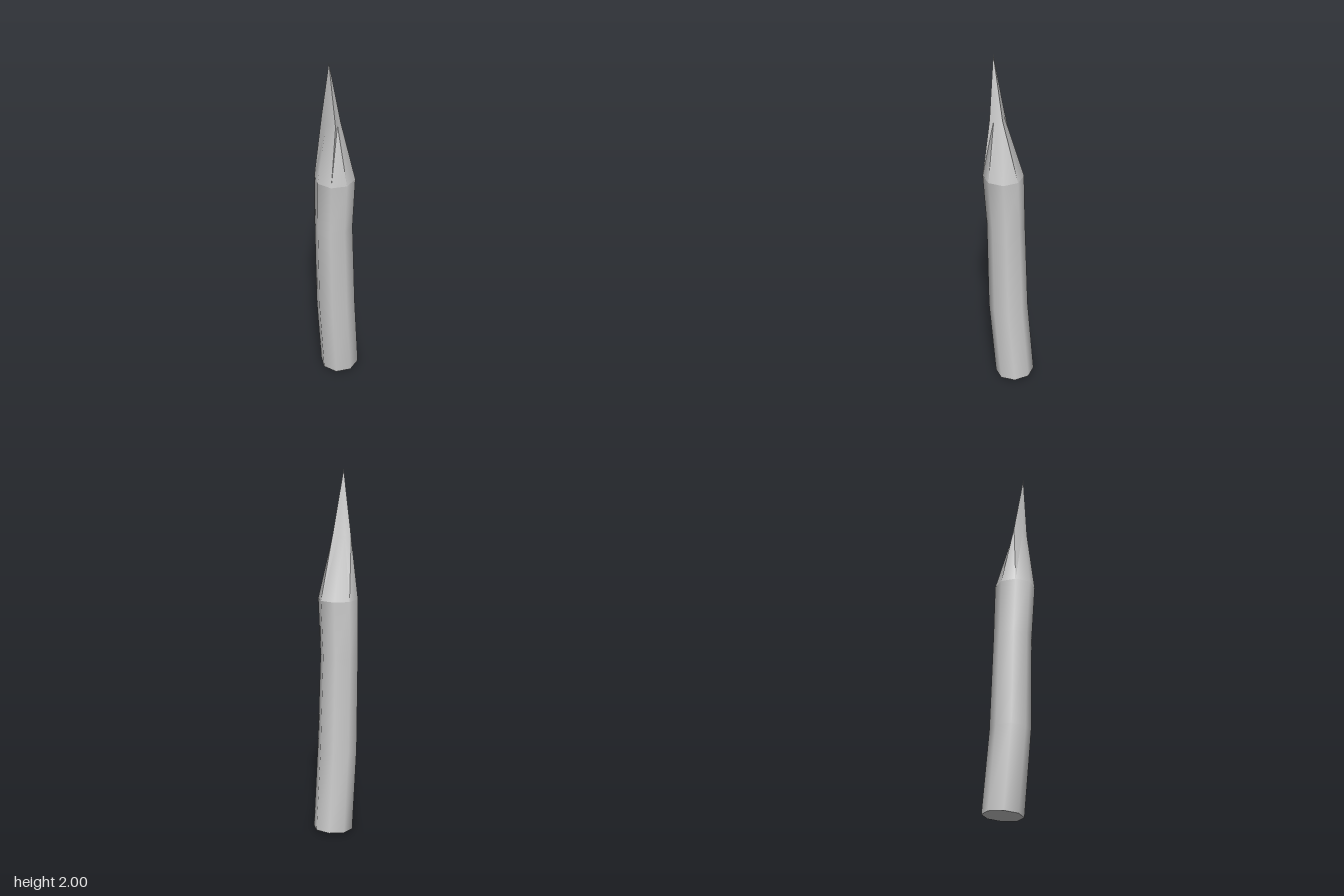
import * as THREE from 'three';
import { toCreasedNormals } from 'three/addons/utils/BufferGeometryUtils.js';

const SIDES = 8;
const material = new THREE.MeshStandardMaterial({ color: 0xcccccc });

// Octagonal ring around a centre, optionally tilted by slopes in x and z
function octagon(x, y, z, r = 0.11, slopeX = 0, slopeZ = 0) {
  return Array.from({ length: SIDES }, (_, i) => {
    const a = (i / SIDES) * Math.PI * 2;
    const dx = r * Math.cos(a), dz = r * Math.sin(a);
    return [x + dx, y + slopeX * dx + slopeZ * dz, z + dz];
  });
}

// Skin between successive rings, with outward faces
function loft(rings) {
  const index = [];
  for (let r = 0; r < rings.length - 1; r++) {
    for (let i = 0; i < SIDES; i++) {
      const j = (i + 1) % SIDES;
      const a = r * SIDES + i, b = r * SIDES + j;
      const c = a + SIDES, d = b + SIDES;
      index.push(a, c, b, b, c, d);
    }
  }
  const geometry = new THREE.BufferGeometry();
  geometry.setAttribute('position', new THREE.Float32BufferAttribute(rings.flat(2), 3));
  geometry.setIndex(index);
  return toCreasedNormals(geometry, 0.85);
}

function addPart(group, name, rings) {
  const mesh = new THREE.Mesh(loft(rings), material);
  mesh.name = name;
  group.add(mesh);
}

export function createModel() {
  const group = new THREE.Group();
  group.name = 'sharpenedStake';

  const base = octagon(0.028, 0.011, -0.018, 0.11, 0.065, -0.035);
  const shoulder = octagon(-0.028, 1.31, 0.016);

  // Slightly bent shaft
  addPart(group, 'shaft', [
    base,
    octagon(-0.01, 0.47, -0.003),
    octagon(-0.025, 1.0, 0, 0.104),
    shoulder,
  ]);

  // Flat underside
  const centre = Array.from({ length: SIDES }, () => [0.028, 0.011, -0.018]);
  addPart(group, 'baseCap', [centre, base]);

  // Roughly whittled point: three broad cuts meeting at an off-centre tip
  const cut = [
    [-0.008, 0.04], [-0.027, 0.053], [-0.046, 0.066], [-0.066, 0.077],
    [-0.085, 0.02], [-0.074, -0.04], [-0.052, -0.013], [-0.03, 0.013],
  ].map(([x, z]) => [x, 1.65, z]);
  const tip = Array.from({ length: SIDES }, () => [-0.077, 2, 0.036]);
  addPart(group, 'point', [shoulder, cut, tip]);

  return group;
}
